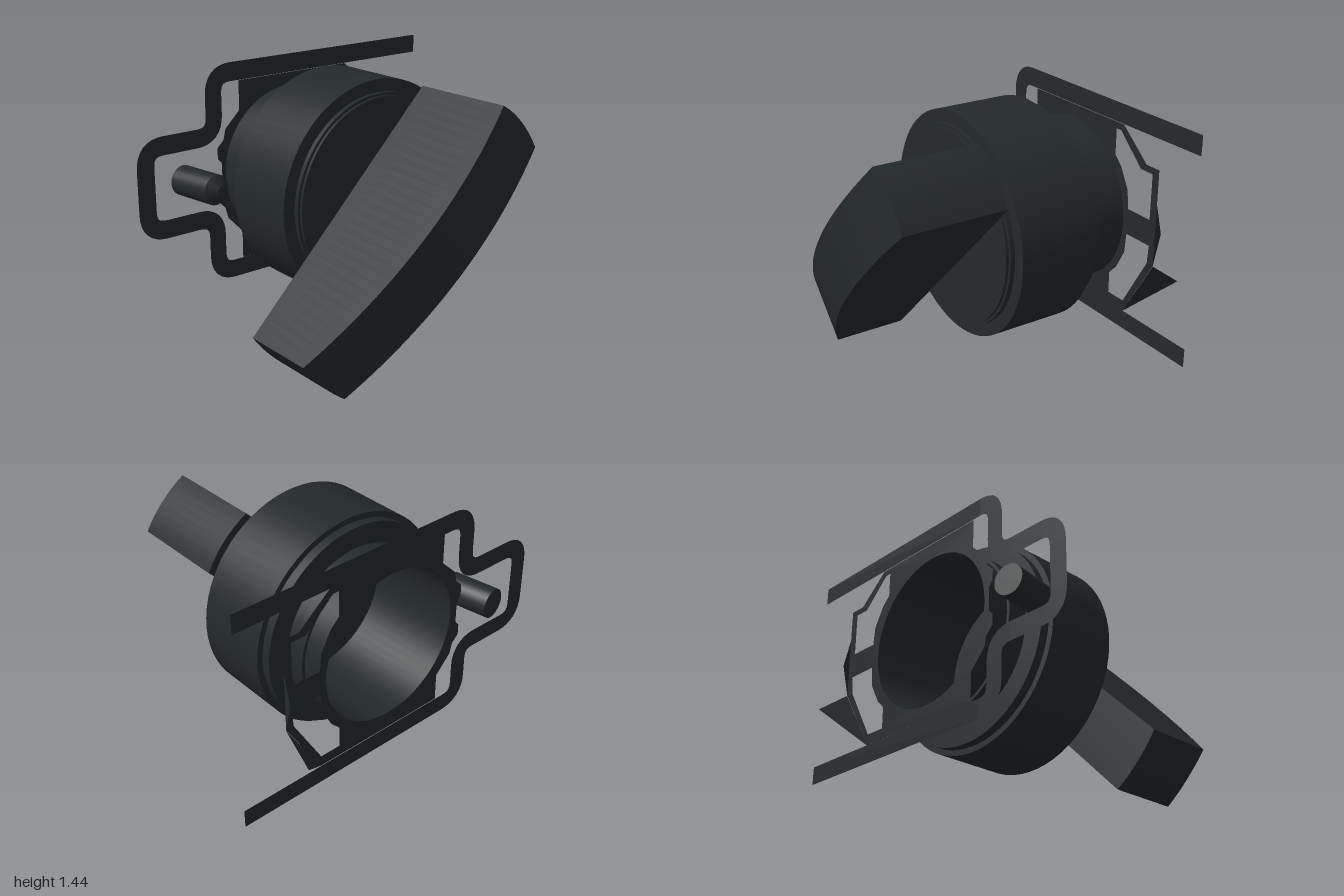
import * as THREE from 'three';
import { toCreasedNormals } from 'three/addons/utils/BufferGeometryUtils.js';

const dark = new THREE.MeshStandardMaterial({ color: 0x24292b });
const darkThin = new THREE.MeshStandardMaterial({ color: 0x24292b, side: THREE.DoubleSide });
const v2 = (list) => list.map(([x, y]) => new THREE.Vector2(x, y));

function add(parent, name, geometry, material = dark) {
  const mesh = new THREE.Mesh(geometry, material);
  mesh.name = name;
  parent.add(mesh);
  return mesh;
}

// Turned part whose axis runs along +z
function turned(profile, segments) {
  const g = new THREE.LatheGeometry(v2(profile), segments);
  return toCreasedNormals(g.rotateX(Math.PI / 2), 0.5);
}

// Lever: a bar with arced ends and a bowed front
function leverGeometry() {
  const g = new THREE.BoxGeometry(1, 0.354, 1, 28, 8, 1);
  const pos = g.attributes.position;
  for (let i = 0; i < pos.count; i++) {
    const q = pos.getY(i);
    const p = THREE.MathUtils.lerp(-Math.sqrt(1.01 - q * q), Math.sqrt(0.36 - q * q), pos.getX(i) + 0.5);
    const front = 0.915 - 0.195 * (p - 0.05) ** 2;
    pos.setXYZ(i, p, q, pos.getZ(i) > 0 ? front : 0.3);
  }
  g.computeVertexNormals();
  return g.rotateZ(Math.PI / 4);
}

// Flat ribbon following a path with rounded corners
function ribbonGeometry(corners, radius, width) {
  const pts = v2(corners);
  const last = pts.length - 1;
  const curve = new THREE.Path();
  curve.moveTo(pts[0].x, pts[0].y);
  for (let i = 1; i < last; i++) {
    const toward = (other) => pts[i].clone().add(other.clone().sub(pts[i]).setLength(radius));
    const a = toward(pts[i - 1]), b = toward(pts[i + 1]);
    curve.lineTo(a.x, a.y);
    curve.quadraticCurveTo(pts[i].x, pts[i].y, b.x, b.y);
  }
  curve.lineTo(pts[last].x, pts[last].y);
  const line = curve.getPoints(8);
  const n = line.length - 1;
  const g = new THREE.PlaneGeometry(1, 1, n, 1);
  for (let i = 0; i <= n; i++) {
    const d = line[Math.min(i + 1, n)].clone().sub(line[Math.max(i - 1, 0)]).normalize();
    for (const row of [0, 1]) {
      const k = (row ? -0.5 : 0.5) * width;
      g.attributes.position.setXYZ(row * (n + 1) + i, line[i].x - d.y * k, line[i].y + d.x * k, 0);
    }
  }
  return g;
}

// Single thin triangle
function triangleGeometry(...corners) {
  const g = new THREE.BufferGeometry().setFromPoints(corners.map((c) => new THREE.Vector3(...c)));
  g.computeVertexNormals();
  return g;
}

export function createModel() {
  const model = new THREE.Group();
  model.name = 'rotarySwitch';

  // Everything but the pin shares one turned axis
  const head = new THREE.Group();
  head.name = 'switchHead';
  head.rotation.y = 0.57;
  model.add(head);

  const cx = 0.103, cy = 0.823, back = -0.483;

  // Hollow neck, stepped flange, collar and front disc
  add(head, 'collarAndNeck', turned([
    [0, 0.08], [0.43, 0.08], [0.43, -0.473], [0.447, -0.473], [0.447, -0.345],
    [0.465, -0.345], [0.465, -0.28], [0.45, -0.28], [0.45, -0.216],
    [0.565, -0.216], [0.565, -0.166], [0.597, -0.166], [0.597, 0.26],
    [0.53, 0.26], [0.53, 0.285], [0.515, 0.285], [0.515, 0.3], [0, 0.3],
  ], 64)).position.set(cx, cy, 0);

  add(head, 'lever', leverGeometry()).position.set(cx, cy, 0);

  // Thin rear plate with a neck opening and two side windows
  const plate = new THREE.Shape(v2([
    [-0.237, 1.335], [0.505, 1.335], [0.69, 1.18], [0.783, 1.18], [0.783, 0.66],
    [0.574, 0.31], [-0.237, 0.31], [-0.237, 0.47], [-0.33, 0.57], [-0.345, 0.63],
    [-0.385, 0.67], [-0.385, 0.73], [-0.36, 0.76], [-0.36, 0.89], [-0.385, 0.92],
    [-0.385, 0.98], [-0.345, 1.02], [-0.33, 1.08], [-0.237, 1.17],
  ]));
  plate.holes.push(
    new THREE.Path().absarc(cx, cy, 0.43, 0, Math.PI * 2, true),
    new THREE.Path(v2([
      [0.45, 1.3], [0.485, 1.3], [0.65, 1.145], [0.737, 1.145], [0.737, 0.9],
      [0.57, 0.9], [0.56, 1.0], [0.5, 1.11], [0.45, 1.16],
    ])),
    new THREE.Path(v2([
      [0.45, 0.37], [0.57, 0.37], [0.737, 0.66], [0.745, 0.76],
      [0.57, 0.76], [0.56, 0.65], [0.5, 0.54], [0.45, 0.49],
    ])),
  );
  add(head, 'rearPlate', new THREE.ShapeGeometry(plate, 24), darkThin).position.z = back;

  // Flaps bent backwards from the plate: one at the corner, one along the side
  add(head, 'cornerFlap', triangleGeometry(
    [0.574, 0.31, back], [0.785, 0.66, back], [0.79, 0.53, -0.656]), darkThin);
  add(head, 'sideFlap', triangleGeometry(
    [0.783, 1.0, back], [0.783, 0.66, back], [0.783, 0.83, -0.523]), darkThin);

  // Flat spring clip looping around the pin side
  const ribbon = ribbonGeometry([
    [1.053, 1.388], [-0.4, 1.388], [-0.4, 1.053], [-0.828, 1.053],
    [-0.828, 0.59], [-0.4, 0.59], [-0.4, 0.257], [1.053, 0.257],
  ], 0.11, 0.103);
  add(head, 'springClip', ribbon, darkThin).position.z = -0.485;

  // Separate round pin with a blunt tip
  const pin = add(model, 'pin', turned([
    [0, 0], [0.083, 0], [0.083, 0.265], [0.03, 0.31], [0, 0.31],
  ], 24));
  pin.position.set(-0.775, 0.82, -0.16);
  pin.rotation.y = 0.73;

  return model;
}
